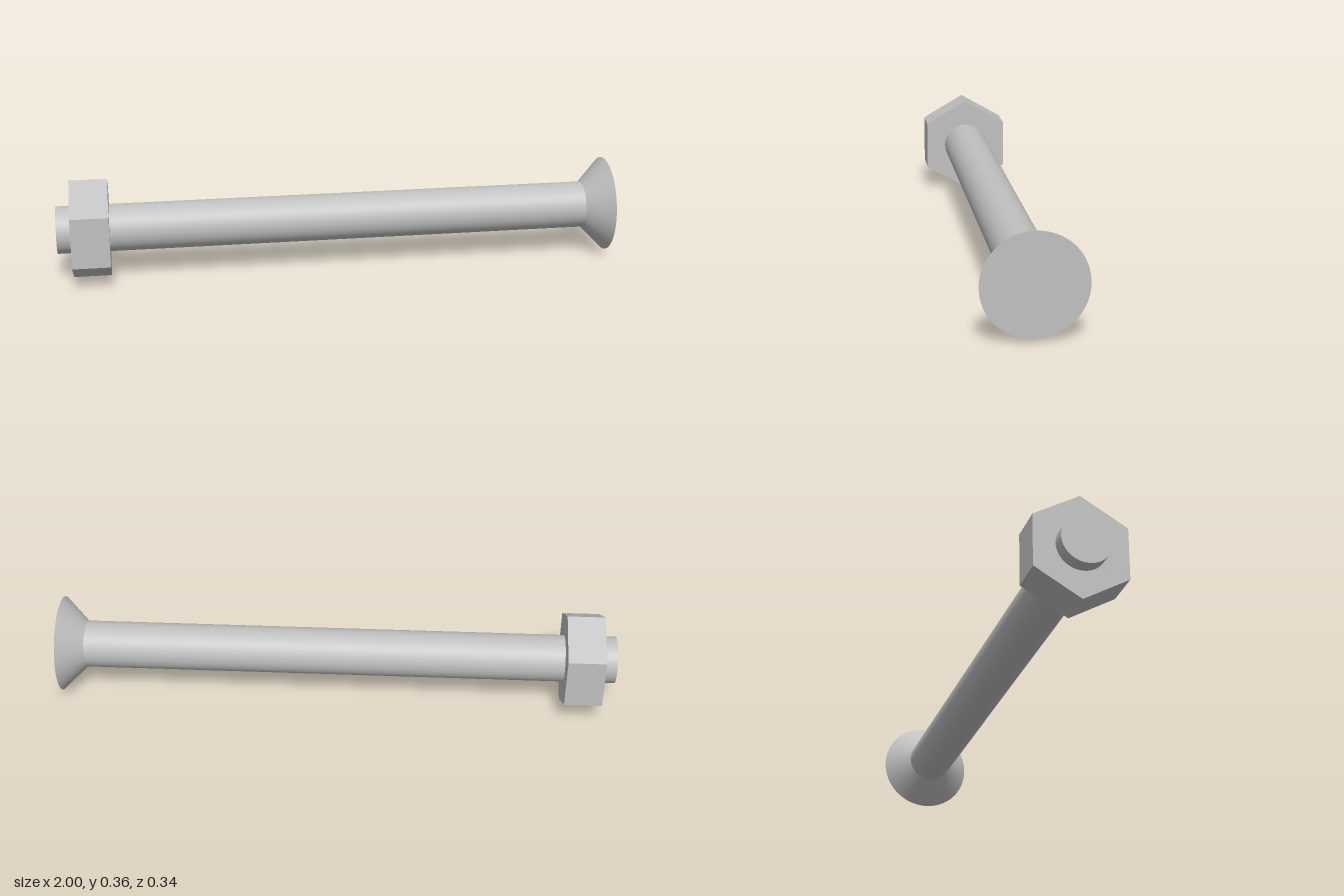
import * as THREE from 'three';

const AXIS_Y = 0.182;
const SHANK_R = 0.084;
const SEGMENTS = 64;

export function createModel() {
  const group = new THREE.Group();
  group.name = 'boltWithNut';
  const steel = new THREE.MeshStandardMaterial({ color: 0xc0c0c0 });
  steel.name = 'steel grey';

  const add = (name, geometry) => {
    const mesh = new THREE.Mesh(geometry, steel);
    mesh.name = name;
    mesh.position.y = AXIS_Y;
    group.add(mesh);
  };

  // Round part along x, from x0 (radius r0) to x1 (radius r1)
  const roundBar = (x0, x1, r0, r1) =>
    new THREE.CylinderGeometry(r1, r0, x1 - x0, SEGMENTS)
      .rotateZ(-Math.PI / 2)
      .translate((x0 + x1) / 2, 0, 0);

  // Shank and countersunk head
  add('shank', roundBar(-1, 0.914, SHANK_R, SHANK_R));
  add('countersunkHead', roundBar(0.914, 1, SHANK_R, 0.171));

  // Hexagonal nut with a bore, one corner pointing up
  const hexagon = new THREE.Shape();
  for (let i = 0; i < 6; i++) {
    const a = Math.PI / 2 + (i * Math.PI) / 3;
    const x = 0.182 * Math.cos(a), y = 0.182 * Math.sin(a);
    if (i === 0) hexagon.moveTo(x, y);
    else hexagon.lineTo(x, y);
  }
  hexagon.closePath();
  hexagon.holes.push(new THREE.Path().absarc(0, 0, SHANK_R - 0.001, 0, Math.PI * 2, true));
  const nut = new THREE.ExtrudeGeometry(hexagon, {
    depth: 0.134, bevelEnabled: false, curveSegments: SEGMENTS,
  });
  add('hexNut', nut.rotateY(Math.PI / 2).translate(-0.949, 0, 0));

  return group;
}
